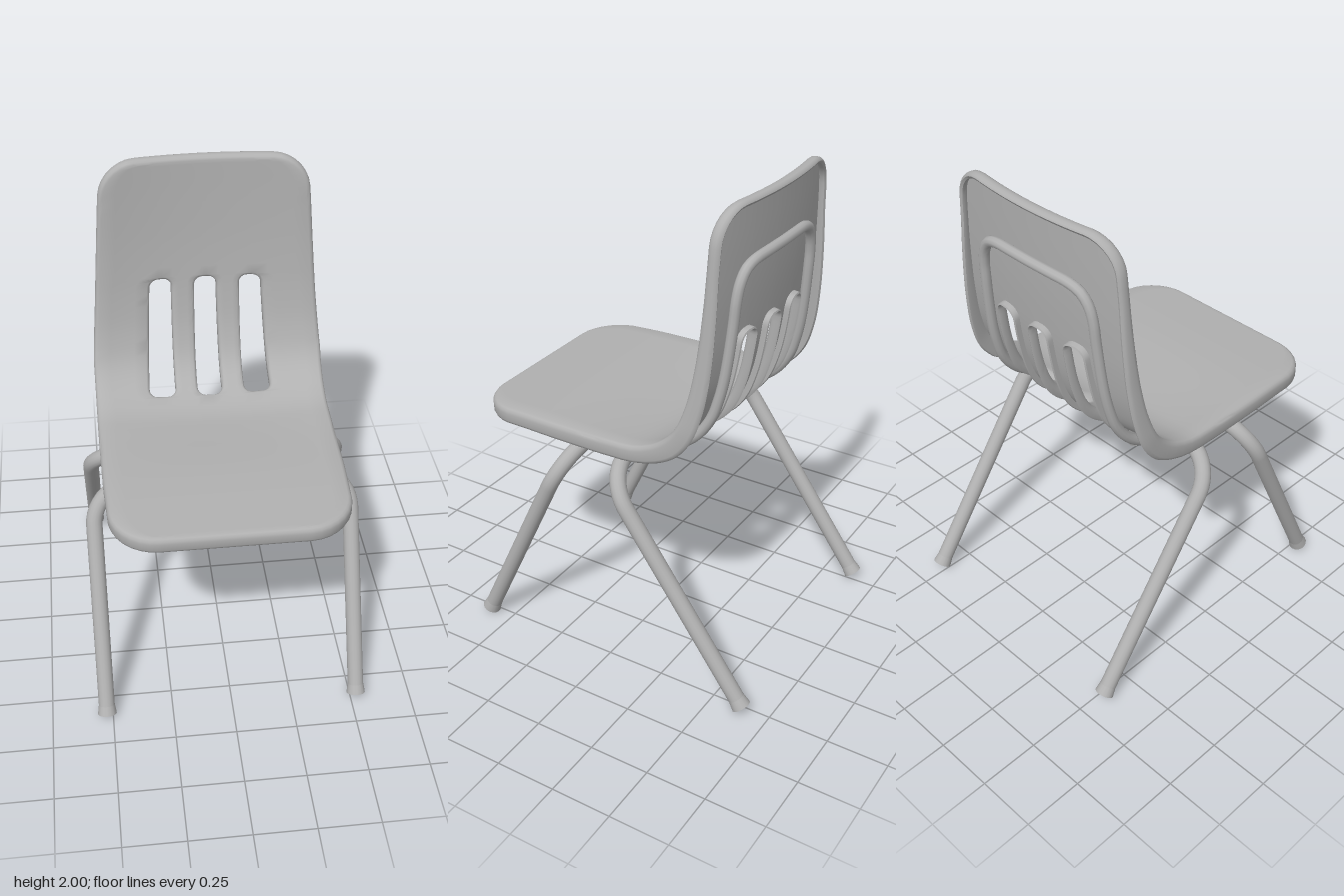
import * as THREE from 'three';
import { mergeVertices, toCreasedNormals } from 'three/addons/utils/BufferGeometryUtils.js';

const V = (x, y, z) => new THREE.Vector3(x, y, z);
const grey = new THREE.MeshStandardMaterial({ color: 0xb0b0b0 });
grey.name = 'grey';

// Side profile of the shell (z, y), from the seat front to the top of the back
const LEN = 1.83;
const profile = new THREE.CatmullRomCurve3([
  [0.645, 1.0], [0.4, 1.01], [0, 1.015], [-0.12, 1.025], [-0.22, 1.07], [-0.29, 1.14],
  [-0.335, 1.25], [-0.365, 1.4], [-0.385, 1.6], [-0.395, 1.8], [-0.4, 1.985],
].map(([z, y]) => V(0, y, z)));

// Piecewise linear lookup
function table(rows, s) {
  if (s <= rows[0][0]) return rows[0][1];
  for (let i = 1; i < rows.length; i++) {
    const [a, va] = rows[i - 1], [b, vb] = rows[i];
    if (s <= b) return va + (vb - va) * (s - a) / (b - a);
  }
  return rows[rows.length - 1][1];
}
const width = s => table([[0, 0.435], [0.15, 0.452], [0.35, 0.461], [0.7, 0.465], [1, 0.464], [1.25, 0.442], [1.65, 0.412], [LEN, 0.396]], s);
const lipDepth = s => table([[0, 0.068], [0.75, 0.074], [0.9, 0.085], [1.1, 0.075], [1.6, 0.05]], s);

// Point on the shell at x, at s along the profile, at a depth under the face
function shellPoint(x, s, depth) {
  const c = THREE.MathUtils.clamp(s, 0, LEN);
  const p = profile.getPointAt(c / LEN), t = profile.getTangentAt(c / LEN);
  p.addScaledVector(t, s - c);
  const sag = 0.04 * THREE.MathUtils.smoothstep(s, 0.3, 1) * (1 - (x / width(s)) ** 2);
  p.addScaledVector(V(0, -t.z, t.y), -sag - depth);
  p.x = x;
  return p;
}

// How much a rounded corner of radius r cuts in at distance d from the end
const cut = (r, d) => d >= r ? 0 : r - Math.sqrt(Math.max(0, r * r - (r - d) ** 2));
const R_FRONT = 0.15, R_TOP = 0.12, SLOT0 = 0.835, SLOT1 = 1.335, R_SLOT = 0.045;
const outline = s => width(s) - cut(R_FRONT, s) - cut(R_TOP, LEN - s);

// Left and right edge of a slot
function slotEdges(k, s) {
  const c = THREE.MathUtils.clamp(s, SLOT0, SLOT1), t = (c - SLOT0) / (SLOT1 - SLOT0);
  const half = (k ? 0.068 - 0.012 * t : 0.064 - 0.007 * t) - cut(R_SLOT, c - SLOT0) - cut(R_SLOT, SLOT1 - c);
  const mid = k * (0.202 - 0.016 * t);
  return [mid - half, mid + half];
}

// Rows along the profile, closer together at the rounded corners
const rows = [0];
function addRows(to, n, ease) {
  const from = rows[rows.length - 1];
  for (let i = 1; i <= n; i++) rows.push(i === n ? to : from + (to - from) * ease(i / n));
}
const linear = t => t, slowStart = t => 1 - Math.cos(t * Math.PI / 2), slowEnd = t => Math.sin(t * Math.PI / 2);
addRows(R_FRONT, 7, slowStart);
addRows(SLOT0, 16, linear);
addRows(SLOT0 + R_SLOT, 5, slowStart);
addRows(SLOT1 - R_SLOT, 16, linear);
addRows(SLOT1, 5, slowEnd);
addRows(LEN - R_TOP, 9, linear);
addRows(LEN, 7, slowEnd);

// Column positions of one row; bands 1, 3 and 5 lie over the slots
const SUB = 4;
function columns(s) {
  const w = outline(s);
  const edges = [-w, ...[-1, 0, 1].flatMap(k => slotEdges(k, s)), w];
  const xs = [edges[0]];
  for (let b = 1; b < edges.length; b++)
    for (let i = 1; i <= SUB; i++) xs.push(i === SUB ? edges[b] : edges[b - 1] + (edges[b] - edges[b - 1]) * i / SUB);
  return xs;
}

function shellGeometry() {
  const pos = [], grid = rows.map(columns), n = grid[0].length, T = 0.02;
  const tri = (...pts) => pts.forEach(p => pos.push(p.x, p.y, p.z));
  const quad = (a, b, c, d) => { tri(a, b, c); tri(a, c, d); };

  // Face and underside
  for (const depth of [0, T]) {
    const pts = grid.map((xs, j) => xs.map(x => shellPoint(x, rows[j], depth)));
    for (let j = 0; j < rows.length - 1; j++) for (let i = 0; i < n - 1; i++) {
      const open = Math.floor(i / SUB) % 2 === 1 && rows[j] >= SLOT0 - 1e-6 && rows[j + 1] <= SLOT1 + 1e-6;
      if (open) continue;
      const [a, b, c, d] = [pts[j][i], pts[j][i + 1], pts[j + 1][i + 1], pts[j + 1][i]];
      if (depth) quad(a, d, c, b); else quad(a, b, c, d);
    }
  }

  // Rolled lip swept round an edge loop
  function lip(loop, section) {
    const rings = loop.map(([x, s], i) => {
      const p = loop[(i + loop.length - 1) % loop.length], q = loop[(i + 1) % loop.length];
      const dx = q[0] - p[0], ds = q[1] - p[1], l = Math.hypot(dx, ds);
      return section(s).map(([o, d]) => shellPoint(x + o * ds / l, s - o * dx / l, d));
    });
    rings.forEach((a, i) => {
      const b = rings[(i + 1) % rings.length];
      for (let j = 0; j < a.length - 1; j++) quad(a[j], a[j + 1], b[j + 1], b[j]);
    });
  }
  // Edge loop between two columns and two rows, anticlockwise
  function loopOf(i0, i1, j0, j1) {
    const loop = [];
    for (let i = i0; i < i1; i++) loop.push([grid[j0][i], rows[j0]]);
    for (let j = j0; j < j1; j++) loop.push([grid[j][i1], rows[j]]);
    for (let i = i1; i > i0; i--) loop.push([grid[j1][i], rows[j1]]);
    for (let j = j1; j > j0; j--) loop.push([grid[j][i0], rows[j]]);
    return loop;
  }
  lip(loopOf(0, n - 1, 0, rows.length - 1), s => {
    const d = lipDepth(s);
    return [[0, 0], [0.009, 0.004], [0.016, 0.013], [0.018, 0.024], [0.018, d - 0.014], [0.014, d - 0.004], [0.006, d], [-0.004, d - 0.006], [-0.006, d - 0.016], [0, T]];
  });
  const r0 = rows.indexOf(SLOT0), r1 = rows.indexOf(SLOT1);
  for (const b of [1, 3, 5])
    lip(loopOf(b * SUB, (b + 1) * SUB, r0, r1).reverse(),
      () => [[0, 0], [0.006, 0.003], [0.011, 0.01], [0.012, 0.02], [0.012, 0.038], [0.007, 0.045], [0.001, 0.042], [0, T]]);

  const g = new THREE.BufferGeometry();
  g.setAttribute('position', new THREE.Float32BufferAttribute(pos, 3));
  return toCreasedNormals(mergeVertices(g, 1e-5), 0.9);
}

function add(parent, name, geometry) {
  const m = new THREE.Mesh(geometry, grey);
  m.name = name;
  parent.add(m);
  return m;
}

// Bent tube: a crossbar with a leg at each end, and foot caps
function legFrame(name, barZ, footY, footZ) {
  const frame = new THREE.Group();
  frame.name = name;
  const X = 0.524, Y = 0.9, R = 0.17, K = 0.45;
  const corner = V(X, Y, barZ), foot = V(X, footY, footZ);
  const dir = foot.clone().sub(corner).normalize();
  const a = V(X - R, Y, barZ), b = corner.clone().addScaledVector(dir, R);
  const a2 = a.clone().lerp(corner, 1 - K), b2 = b.clone().lerp(corner, 1 - K);
  const m = p => V(-p.x, p.y, p.z);
  const path = new THREE.CurvePath();
  path.add(new THREE.LineCurve3(m(foot), m(b)));
  path.add(new THREE.CubicBezierCurve3(m(b), m(b2), m(a2), m(a)));
  path.add(new THREE.LineCurve3(m(a), a));
  path.add(new THREE.CubicBezierCurve3(a, a2, b2, b));
  path.add(new THREE.LineCurve3(b, foot));
  add(frame, 'legTube', new THREE.TubeGeometry(path, 120, 0.033, 16));
  for (const side of [-1, 1]) {
    const cap = add(frame, 'footCap', new THREE.CylinderGeometry(0.033, 0.039, 0.04, 16));
    cap.position.copy(foot).addScaledVector(dir, -0.02);
    cap.position.x *= side;
    cap.quaternion.setFromUnitVectors(V(0, -1, 0), dir);
  }
  return frame;
}

// Thin rod that runs under the seat and arches over the slots behind the back
function supportRod() {
  const rod = new THREE.Group();
  rod.name = 'supportRod';
  const half = [];
  for (let i = 0; i <= 16; i++) {
    const s = 0.22 + 1.26 * i / 16;
    half.push([table([[0.9, 0.33], [1.48, 0.295]], s), s]);
  }
  half.push([0.28, 1.54], [0.248, 1.585], [0.2, 1.605], [0.1, 1.612]);
  const left = half.map(([x, s]) => [-x, s]).reverse();
  const pts = [...half, [0, 1.613], ...left].map(([x, s]) => shellPoint(x, s, table([[0.8, 0.05], [1.3, 0.038]], s)));
  add(rod, 'rodTube', new THREE.TubeGeometry(new THREE.CatmullRomCurve3(pts), 140, 0.021, 10));
  for (const p of [pts[0], pts[pts.length - 1]])
    add(rod, 'rodEnd', new THREE.SphereGeometry(0.021, 10, 8)).position.copy(p);
  return rod;
}

export function createModel() {
  const chair = new THREE.Group();
  chair.name = 'chair';
  add(chair, 'seatShell', shellGeometry());
  chair.add(legFrame('frontLegs', 0.185, 0.017, 0.607), legFrame('rearLegs', -0.012, 0.022, -0.637), supportRod());
  return chair;
}
